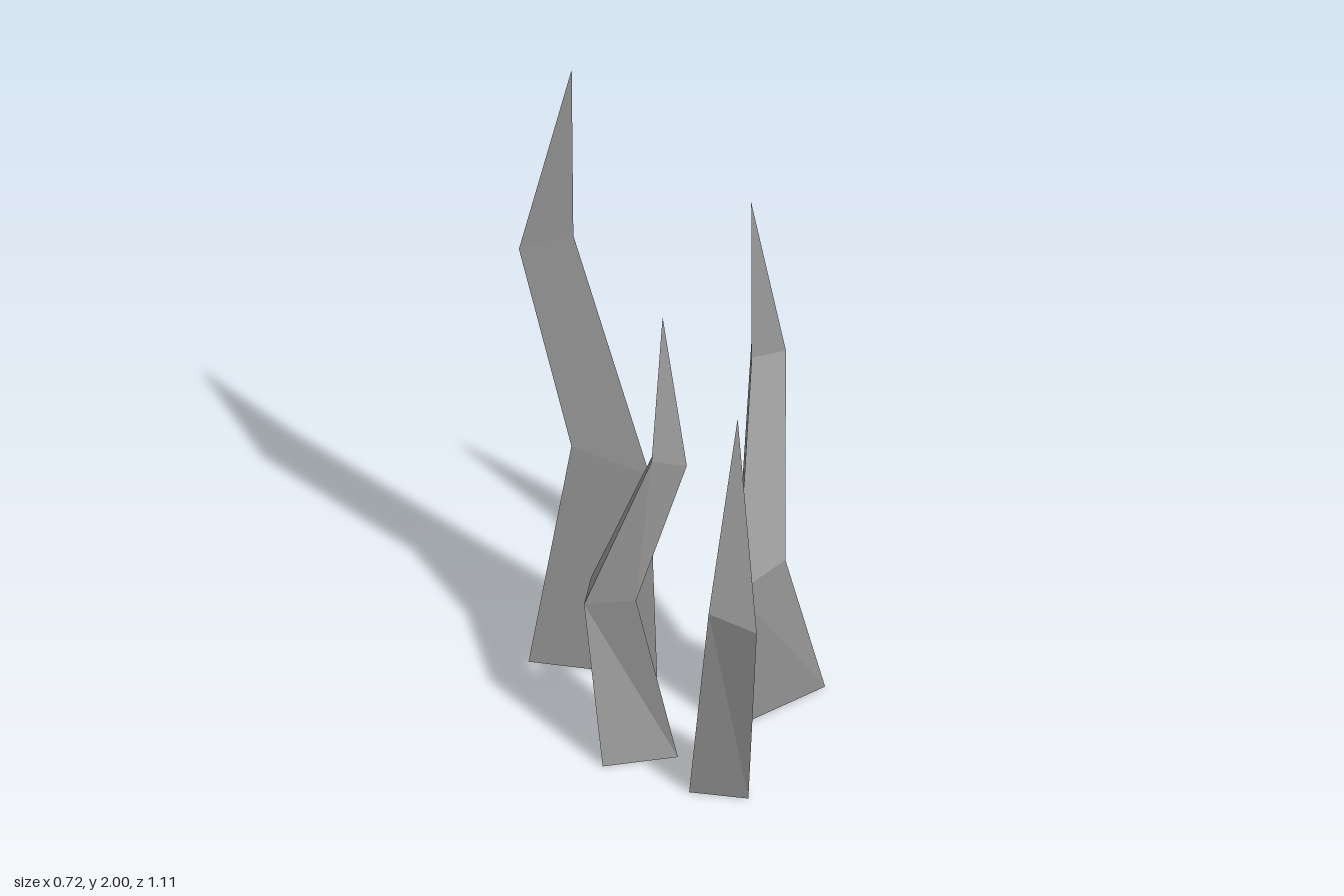
import * as THREE from 'three';

const material = new THREE.MeshStandardMaterial({ color: 0x9c9c9c, flatShading: true, side: THREE.DoubleSide });

// Faceted hollow spike: stacked three-cornered rings (left, front, back; counterclockwise from above) and a tip
function makeSpike(name, rings, tip) {
  const positions = [];
  const face = (...corners) => corners.forEach((c) => positions.push(...c));

  // sides
  for (let r = 0; r < rings.length - 1; r++) {
    for (let i = 0; i < 3; i++) {
      const j = (i + 1) % 3;
      const low = rings[r], high = rings[r + 1];
      face(low[i], low[j], high[i]);
      face(low[j], high[j], high[i]);
    }
  }
  // pointed end; the foot stays open
  const last = rings[rings.length - 1];
  for (let i = 0; i < 3; i++) face(last[i], last[(i + 1) % 3], tip);

  const geometry = new THREE.BufferGeometry();
  geometry.setAttribute('position', new THREE.Float32BufferAttribute(positions, 3));
  geometry.computeVertexNormals();
  const mesh = new THREE.Mesh(geometry, material);
  mesh.name = name;
  return mesh;
}

export function createModel() {
  const group = new THREE.Group();
  group.name = 'spikeCluster';

  group.add(
    makeSpike('backSpike', [
      [[-0.305, 0, -0.417], [-0.026, 0, -0.198], [-0.026, 0, -0.556]],
      [[-0.224, 0.76, -0.32], [-0.052, 0.69, -0.19], [-0.074, 0.7, -0.388]],
      [[-0.325, 1.38, -0.435], [-0.203, 1.44, -0.35], [-0.198, 1.41, -0.47]],
    ], [-0.208, 2, -0.35]),

    makeSpike('leftSpike', [
      [[0.04, 0, 0.105], [0.36, 0, 0.045], [0.197, 0, -0.177]],
      [[0.026, 0.515, 0.182], [0.197, 0.535, 0.13], [0.126, 0.58, -0.005]],
      [[0.205, 1.068, -0.088], [0.313, 1.05, -0.097], [0.262, 1.02, -0.204]],
    ], [0.203, 1.59, -0.087]),

    makeSpike('rightSpike', [
      [[-0.341, 0, 0.1], [-0.14, 0, 0.153], [-0.176, 0, -0.094]],
      [[-0.362, 0.505, 0.03], [-0.25, 0.54, 0.12], [-0.282, 0.49, -0.088]],
      [[-0.209, 1.0, 0.132], [-0.123, 0.985, 0.173], [-0.15, 1.02, 0.072]],
    ], [-0.148, 1.43, 0.077]),

    makeSpike('frontSpike', [
      [[-0.185, 0, 0.31], [-0.055, 0, 0.408], [-0.026, 0, 0.195]],
      [[-0.2, 0.7, 0.457], [-0.103, 0.665, 0.554], [-0.096, 0.73, 0.404]],
    ], [-0.09, 1.29, 0.413]),
  );
  return group;
}
